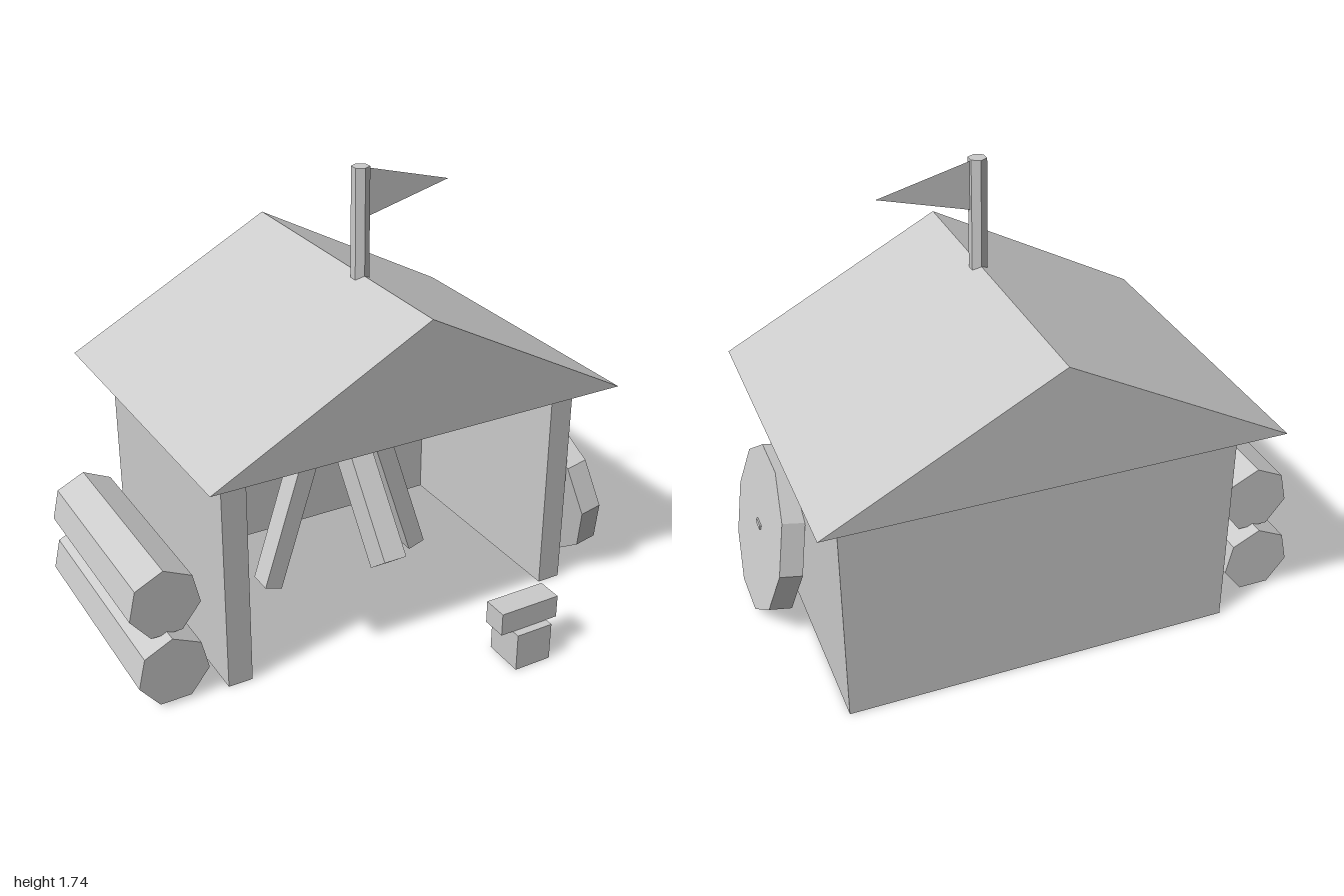
import * as THREE from 'three';

export function createModel() {
  const model = new THREE.Group();
  const grey = new THREE.MeshStandardMaterial({ color: 0xcccccc, flatShading: true });
  const thin = new THREE.MeshStandardMaterial({ color: 0xcccccc, flatShading: true, side: THREE.DoubleSide });

  const add = (name, geometry, x, y, z, parent = model, material = grey) => {
    const mesh = new THREE.Mesh(geometry, material);
    mesh.name = name;
    mesh.position.set(x, y, z);
    parent.add(mesh);
    return mesh;
  };
  // Box given by its minimum and maximum corners
  const span = (name, [x0, y0, z0], [x1, y1, z1], parent) =>
    add(name, new THREE.BoxGeometry(x1 - x0, y1 - y0, z1 - z0),
      (x0 + x1) / 2, (y0 + y1) / 2, (z0 + z1) / 2, parent);
  const group = (name) => {
    const g = new THREE.Group();
    g.name = name;
    model.add(g);
    return g;
  };
  const polygon = (points) => new THREE.Shape(points.map(([x, y]) => new THREE.Vector2(x, y)));

  const mid = 0.073; // x of the hut's centre line
  const eaves = 0.89;

  // Three walls, open at the front
  const walls = group('walls');
  span('rightWall', [-0.665, 0, -0.63], [-0.57, eaves, 0.36], walls);
  span('leftWall', [0.715, 0, -0.63], [0.81, eaves, 0.36], walls);
  span('backWall', [-0.57, 0, -0.63], [0.715, eaves, -0.535], walls);

  // Solid gable roof
  const gable = polygon([[-0.837, 0], [0.837, 0], [0, 0.445]]);
  add('roof', new THREE.ExtrudeGeometry(gable, { depth: 1.285, bevelEnabled: false }), mid, eaves, -0.785);

  // Hexagonal pole with a thin pennant
  const flag = group('flag');
  add('flagPole', new THREE.CylinderGeometry(0.034, 0.034, 0.425, 6), mid, 1.5225, 0.01, flag);
  const pennant = polygon([[0, -0.09], [0.34, 0], [0, 0.09]]);
  add('pennant', new THREE.ShapeGeometry(pennant), 0.102, 1.635, 0.01, flag, thin);

  // Two leaning side struts and a thicker beam sloping down to the front
  const frame = group('frame');
  for (const side of [-1, 1]) {
    const strut = add(side < 0 ? 'rightStrut' : 'leftStrut',
      new THREE.BoxGeometry(0.075, 0.73, 0.1), mid + side * 0.223, 0.377, -0.13, frame);
    strut.rotation.z = side * 0.31;
  }
  const beam = add('slopingBeam', new THREE.BoxGeometry(0.095, 0.85, 0.13).translate(0, 0.425, 0),
    mid, 0.23, 0.2425, frame);
  beam.rotation.x = -0.66;

  // Stacked seven-sided logs
  const logs = group('logs');
  for (const [name, y, length, z] of [['lowerLog', 0.138, 0.89, -0.095], ['upperLog', 0.388, 0.79, -0.095]]) {
    const log = new THREE.CylinderGeometry(0.137, 0.137, length, 7);
    log.rotateY(Math.PI).rotateX(Math.PI / 2); // one corner points up
    add(name, log, -0.865, y, z, logs);
  }

  // Ten-sided disc leaning on the outer wall, with a small central stud
  const disc = group('leaningDisc');
  disc.position.set(0.89, 0.324, 0.11);
  disc.rotation.z = 0.208;
  const plate = new THREE.CylinderGeometry(0.323, 0.323, 0.087, 10);
  plate.rotateZ(-Math.PI / 2);
  add('disc', plate, 0, 0, 0, disc);
  add('stud', new THREE.BoxGeometry(0.02, 0.016, 0.055), 0.04, 0.018, 0, disc);

  // Anvil block in front of the hut
  const anvil = group('anvil');
  span('anvilBase', [0.295, 0, 0.625], [0.445, 0.15, 0.785], anvil);
  span('anvilTop', [0.245, 0.15, 0.655], [0.49, 0.24, 0.753], anvil);

  return model;
}
